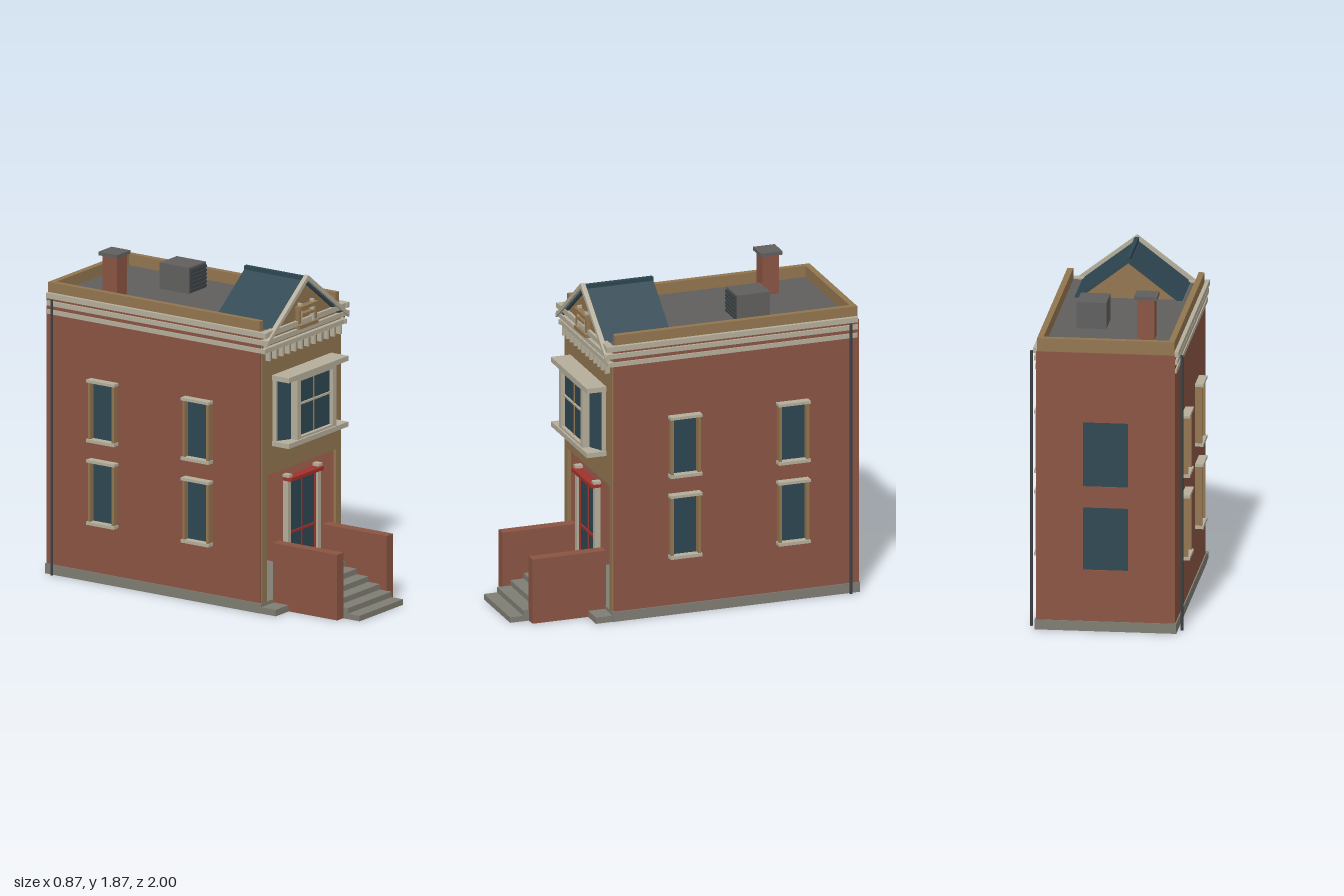
import * as THREE from 'three';

const paint = (name, color) => {
  const m = new THREE.MeshStandardMaterial({ color });
  m.name = name;
  return m;
};

export function createModel() {
  const house = new THREE.Group();
  house.name = 'townhouse';
  const brick = paint('brick', 0x8a5443), tan = paint('tan stone', 0x92754f);
  const trim = paint('pale trim', 0xb5ae9b), stone = paint('grey stone', 0x7f7d73);
  const deckGrey = paint('roof grey', 0x605f5e), glass = paint('dark blue', 0x2d4651);
  const red = paint('red', 0xa0322b), iron = paint('iron', 0x3c4145);

  const add = (name, geometry, material) => {
    const mesh = new THREE.Mesh(geometry, material);
    mesh.name = name;
    house.add(mesh);
    return mesh;
  };
  // box given by its limits on each axis
  const box = (name, mat, x0, x1, y0, y1, z0, z1) => {
    const m = add(name, new THREE.BoxGeometry(Math.abs(x1 - x0), y1 - y0, z1 - z0), mat);
    m.position.set((x0 + x1) / 2, (y0 + y1) / 2, (z0 + z1) / 2);
    return m;
  };
  // the same box on both sides of the middle
  const pair = (name, mat, x0, x1, ...rest) => {
    box(name + 'Left', mat, x0, x1, ...rest);
    box(name + 'Right', mat, -x1, -x0, ...rest);
  };
  // upright plate with rectangular holes [x0, x1, y0, y1]
  const wall = (name, mat, x, y0, y1, z0, z1, holes) => {
    const rect = (a, b, c, d, S) => new S([[a, c], [b, c], [b, d], [a, d]].map(p => new THREE.Vector2(...p)));
    const s = rect(-x, x, y0, y1, THREE.Shape);
    s.holes = holes.map(h => rect(...h, THREE.Path));
    add(name, new THREE.ExtrudeGeometry(s, { depth: z1 - z0, bevelEnabled: false }), mat).position.z = z0;
  };
  const poly = (name, mat, pts, z0, z1) => {
    const s = new THREE.Shape(pts.map(p => new THREE.Vector2(...p)));
    add(name, new THREE.ExtrudeGeometry(s, { depth: z1 - z0, bevelEnabled: false }), mat).position.z = z0;
  };

  // Foundation and hollow brick shell
  box('foundation', stone, -0.395, 0.395, 0, 0.057, -1, 0.462);
  pair('frontPad', stone, 0.21, 0.392, 0, 0.037, 0.46, 0.56);
  pair('sideWall', brick, 0.365, 0.388, 0.055, 1.6, -0.99, 0.452);
  const floors = [[0.355, 0.695], [0.83, 1.155]];
  wall('backWall', brick, 0.388, 0.055, 1.6, -0.995, -0.97,
    [[-0.125, 0.125, 0.35, 0.71], [-0.125, 0.125, 0.83, 1.2]]);
  box('backWindowLower', glass, -0.126, 0.126, 0.349, 0.711, -0.986, -0.978);
  box('backWindowUpper', glass, -0.126, 0.126, 0.829, 1.201, -0.986, -0.978);

  // Front face with the porch opening
  wall('frontFace', tan, 0.381, 0.055, 1.6, 0.44, 0.46, [[-0.335, 0.335, 0.057, 0.78]]);

  // Flat roof and parapet
  box('roofDeck', deckGrey, -0.37, 0.37, 1.58, 1.61, -0.975, 0.45);
  pair('parapet', tan, 0.35, 0.383, 1.59, 1.675, -0.985, 0.445);
  box('parapetBack', tan, -0.383, 0.383, 1.59, 1.675, -0.988, -0.953);

  // Cornice bands on the sides and front
  const bands = [[1.588, 1.618, 0.405, 0.5], [1.545, 1.572, 0.4, 0.503], [1.496, 1.522, 0.396, 0.49]];
  for (const [y0, y1, x, z] of bands) {
    pair('sideCornice', trim, 0.38, x, y0, y1, -0.985, z);
    box('frontCornice', trim, -0.385, 0.385, y0, y1, 0.455, z - 0.005);
  }
  for (let i = 0; i < 12; i++) {
    const x = (i - 5.5) * 0.0622;
    box('corniceBracket', trim, x - 0.007, x + 0.007, 1.445, 1.497, 0.455, 0.488);
  }

  // Front gable with pitched roof behind
  const slope = 0.3 / 0.39, top = 1.842;
  const line = (x, drop = 0) => top - drop - slope * x;
  poly('gableFront', tan, [[-0.38, line(0.38, 0.01)], [0.38, line(0.38, 0.01)], [0, top - 0.01]], 0.45, 0.478);
  poly('gableBack', tan, [[-0.33, line(0.33, 0.01)], [0.33, line(0.33, 0.01)], [0, top - 0.01]], 0.1, 0.12);
  for (const s of [1, -1]) {
    const fix = pts => {
      const p = pts.map(([x, y]) => [x * s, y]);
      return s < 0 ? p.reverse() : p;
    };
    poly('gableRoof', glass, fix([[0, top - 0.025], [0.35, line(0.35, 0.025)], [0.35, line(0.35)], [0, top]]), 0.08, 0.482);
    poly('gableRake', trim, fix([[0, 1.835], [0.398, 1.535], [0.398, 1.56], [0, 1.865]]), 0.48, 0.507);
    poly('gableShadowBoard', glass, fix([[0, 1.815], [0.375, 1.532], [0.375, 1.552], [0, 1.836]]), 0.475, 0.49);
  }
  box('ridgeCap', glass, -0.012, 0.012, 1.832, 1.855, 0.08, 0.482);

  // Gable ornament
  pair('ornamentPost', trim, 0.052, 0.066, 1.575, 1.715, 0.475, 0.503);
  pair('ornamentOuterPost', tan, 0.07, 0.084, 1.6, 1.69, 0.475, 0.505);
  box('ornamentTopRail', tan, -0.09, 0.09, 1.68, 1.7, 0.475, 0.515);
  box('ornamentMiddleRail', tan, -0.055, 0.055, 1.64, 1.655, 0.475, 0.508);
  box('ornamentBottomRail', tan, -0.09, 0.09, 1.572, 1.592, 0.475, 0.512);

  // Bay window
  box('bayHood', trim, -0.287, 0.287, 1.318, 1.347, 0.455, 0.575);
  box('baySill', trim, -0.287, 0.287, 0.94, 0.968, 0.455, 0.575);
  box('bayTopRail', trim, -0.188, 0.188, 1.3, 1.32, 0.525, 0.563);
  box('bayBottomRail', trim, -0.188, 0.188, 0.965, 0.98, 0.525, 0.563);
  pair('bayPost', trim, 0.155, 0.189, 0.965, 1.32, 0.515, 0.565);
  pair('bayCornerPost', trim, 0.262, 0.28, 0.965, 1.32, 0.455, 0.482);
  box('bayGlass', glass, -0.157, 0.157, 0.975, 1.305, 0.532, 0.54);
  box('bayCrossbar', trim, -0.157, 0.157, 1.157, 1.168, 0.538, 0.55);
  box('bayMullion', tan, -0.003, 0.003, 0.975, 1.305, 0.538, 0.547);
  for (const s of [1, -1]) {
    const side = box('baySideGlass', glass, -0.045, 0.045, 0.965, 1.32, -0.004, 0.004);
    side.position.set(s * 0.227, 1.1425, 0.498);
    side.rotation.y = s * 0.49;
  }

  // Front door
  pair('doorPilaster', trim, 0.13, 0.157, 0.055, 0.735, 0.445, 0.48);
  pair('doorPilasterCap', trim, 0.128, 0.163, 0.732, 0.748, 0.445, 0.488);
  box('doorLintel', red, -0.158, 0.158, 0.71, 0.73, 0.445, 0.502);
  pair('doorStile', red, 0.122, 0.132, 0.19, 0.712, 0.445, 0.468);
  box('doorGlass', glass, -0.125, 0.125, 0.24, 0.712, 0.45, 0.458);
  box('doorBottomRail', red, -0.125, 0.125, 0.19, 0.245, 0.445, 0.466);
  box('doorMiddleRail', red, -0.125, 0.125, 0.397, 0.41, 0.45, 0.466);
  box('doorMullion', red, -0.003, 0.003, 0.24, 0.712, 0.45, 0.463);

  // Front steps between brick cheek walls
  const treads = 6;
  for (let i = 0; i < treads; i++)
    box('step', stone, -0.21, 0.21, i * 0.19 / treads, (i + 1) * 0.19 / treads, 0.445, 1 - i * 0.078);
  pair('stairWall', brick, 0.208, 0.27, 0.001, 0.378, 0.455, 0.89);

  // Side windows: hood, sill and deep jambs
  for (const z of [0.04, -0.6]) for (const [y0, y1] of floors) {
    pair('sideWindow', glass, 0.385, 0.393, y0, y1, z - 0.08, z + 0.08);
    pair('sideWindowHood', trim, 0.385, 0.435, y1, y1 + 0.016, z - 0.094, z + 0.094);
    pair('sideWindowSill', trim, 0.385, 0.435, y0 - 0.018, y0, z - 0.094, z + 0.094);
    for (const e of [-1, 1])
      pair('sideWindowJamb', tan, 0.385, 0.426, y0, y1, z + e * 0.08 - 0.008, z + e * 0.08 + 0.008);
  }

  // Downpipes near the back corners
  for (const s of [1, -1])
    add('downpipe', new THREE.CylinderGeometry(0.008, 0.008, 1.585, 8), iron).position.set(s * 0.419, 0.796, -0.937);

  // Chimney and rooftop vent unit
  box('chimney', brick, -0.24, -0.143, 1.6, 1.842, -0.72, -0.622);
  box('chimneyCap', deckGrey, -0.256, -0.128, 1.84, 1.86, -0.736, -0.608);
  box('ventUnit', deckGrey, 0.05, 0.215, 1.605, 1.76, -0.535, -0.338);
  for (let i = 0; i < 6; i++)
    box('ventLouver', iron, 0.055, 0.21, 1.622 + i * 0.022, 1.634 + i * 0.022, -0.34, -0.326);
  box('ventGrille', iron, 0.057, 0.208, 1.615, 1.75, -0.34, -0.334);

  return house;
}
